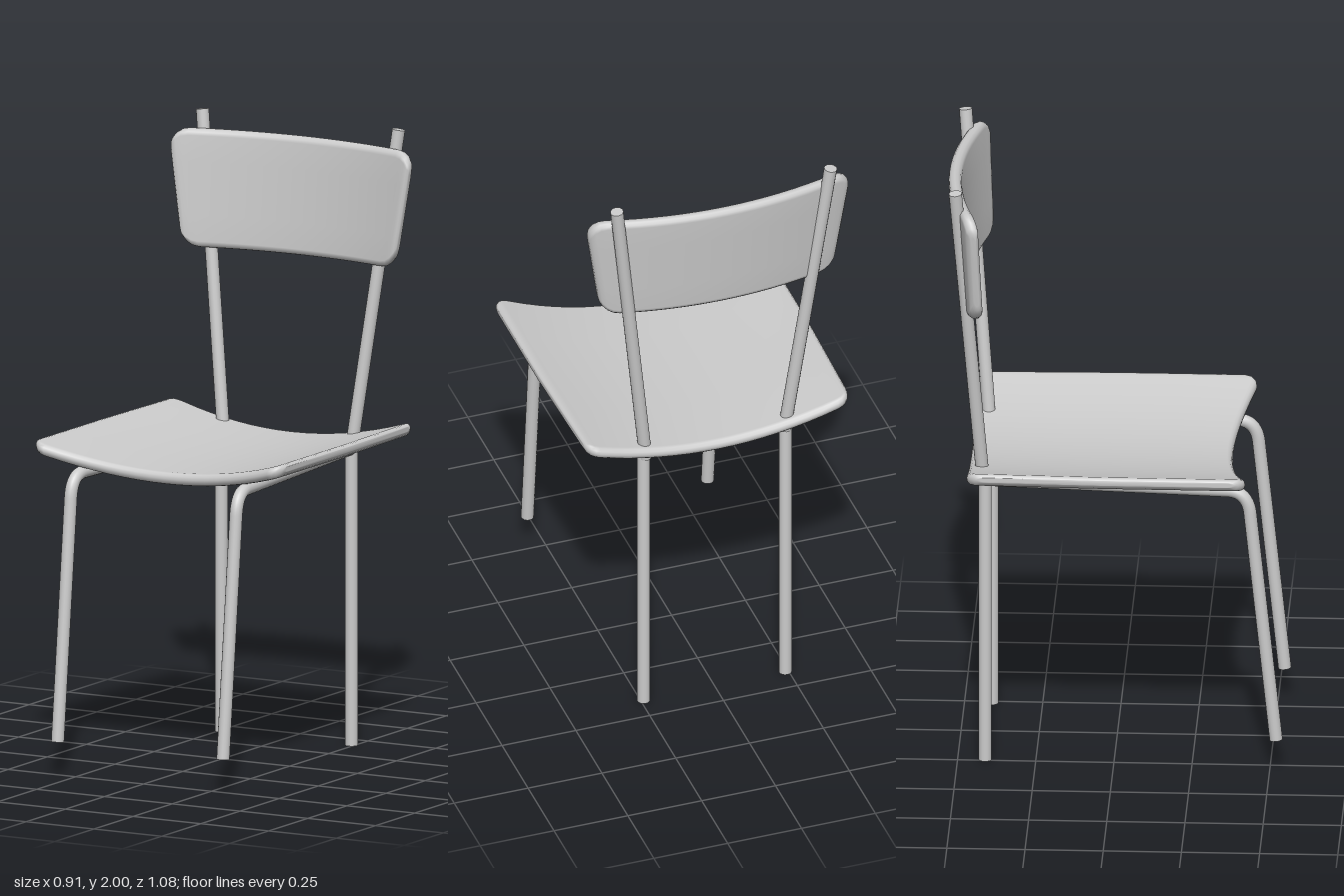
import * as THREE from 'three';

const material = new THREE.MeshStandardMaterial({ color: 0xcccccc });
const V = (x, y, z) => new THREE.Vector3(x, y, z);
const RADIUS = 0.021;

function addMesh(parent, name, geometry) {
  const mesh = new THREE.Mesh(geometry, material);
  mesh.name = name;
  parent.add(mesh);
  return mesh;
}

// Straight round bar between two points
function rod(parent, name, a, b) {
  const dir = b.clone().sub(a);
  const mesh = addMesh(parent, name, new THREE.CylinderGeometry(RADIUS, RADIUS, dir.length(), 16));
  mesh.position.copy(a).add(b).multiplyScalar(0.5);
  mesh.quaternion.setFromUnitVectors(V(0, 1, 0), dir.normalize());
}

// Thin board with rounded corners and rim, lofted along x, then bent by map(x, l, t)
function panel(halfW, halfL, corner, halfT, map) {
  // Half section across the board: rounded ends plus points along the flat faces
  const ends = [0, 30, 60, 90].map(THREE.MathUtils.degToRad);
  const quarter = ends.map(a => ({ a, k: 1 }));
  const upper = [...quarter, { a: Math.PI / 2, k: 0.5 }, { a: Math.PI / 2, k: 0 }];
  const section = (len, t) => {
    const q = upper.map(({ a, k }) => [k * (len - halfT) + (k === 1 ? halfT * Math.cos(a) : 0), t * Math.sin(a)]);
    const top = [...q, ...q.slice(0, -1).reverse().map(([l, h]) => [-l, h])];
    return [...top, ...top.slice(1, -1).reverse().map(([l, h]) => [l, -h])];
  };

  // Stations across the width, denser round the corners
  const flat = halfW - corner;
  const half = [0, 20, 40, 60, 75, 90].map(d => {
    const a = THREE.MathUtils.degToRad(d);
    const x = flat + corner * Math.sin(a);
    const d2 = Math.min(1, (halfW - x) / 0.015);
    return { x, len: halfL - corner + corner * Math.cos(a), t: halfT * Math.max(0.4, Math.sqrt(1 - (1 - d2) ** 2)) };
  });
  const stations = half.map(s => ({ ...s, x: -s.x })).reverse();
  for (let i = 1; i < 16; i++) stations.push({ x: flat * (i / 8 - 1), len: halfL, t: halfT });
  stations.push(...half);

  const points = [], index = [];
  let n = 0;
  stations.forEach(({ x, len, t }) => {
    const ring = section(len, t);
    n = ring.length;
    ring.forEach(([l, h]) => points.push(map(x, l, h)));
  });
  const last = (stations.length - 1) * n;
  points.push(map(-halfW, 0, 0), map(halfW, 0, 0));
  for (let j = 0; j < n; j++) {
    const k = (j + 1) % n;
    for (let i = 0; i < last; i += n) {
      index.push(i + j, i + k, i + n + j, i + k, i + n + k, i + n + j);
    }
    index.push(last + n, k, j, last + n + 1, last + j, last + k);
  }
  const geometry = new THREE.BufferGeometry().setFromPoints(points);
  geometry.setIndex(index);
  geometry.computeVertexNormals();
  return geometry;
}

export function createModel() {
  const chair = new THREE.Group();
  chair.name = 'chair';

  // Seat: dished across the width, front edge hollowed, slightly narrower at the back
  addMesh(chair, 'seat', panel(0.457, 0.4475, 0.045, 0.02, (x, l, t) => {
    const hollow = 0.06 * Math.max(0, 1 - (x / 0.42) ** 2) * Math.max(0, -l / 0.4475);
    const narrow = 1 - 0.025 * Math.max(0, l / 0.4475);
    return V(x * narrow, 0.971 + 0.074 * (x / 0.455) ** 2 + t, -0.0175 - l - hollow);
  }));

  // Backrest: wider at the top, wrapped forward at the sides and leaning back
  addMesh(chair, 'backrest', panel(0.45, 0.19, 0.065, 0.021, (x, l, t) => {
    const px = x * (0.935 + 0.065 * l / 0.19);
    return V(px, 1.75 + l, -0.502 - 0.09 * l + 0.073 * (px / 0.445) ** 2 + t);
  }));

  // Tubular frame, one side at a time
  for (const [side, s] of [['left', 1], ['right', -1]]) {
    const frame = new THREE.Group();
    frame.name = side + 'Frame';
    const legTop = V(s * 0.305, 0.89, 0.438);
    const elbow = V(s * 0.305, 0.965, 0.43);
    const railFront = V(s * 0.3, 0.965, 0.365);
    rod(frame, 'frontLeg', V(s * 0.305, 0.112, 0.521), legTop);
    addMesh(frame, 'legBend', new THREE.TubeGeometry(
      new THREE.QuadraticBezierCurve3(legTop, elbow, railFront), 12, RADIUS, 16));
    rod(frame, 'seatRail', railFront, V(s * 0.24, 0.965, -0.412));
    rod(frame, 'backLeg', V(s * 0.24, 0, -0.412), V(s * 0.24, 0.97, -0.412));
    rod(frame, 'backUpright', V(s * 0.235, 0.955, -0.418), V(s * 0.362, 1.998, -0.502));
    chair.add(frame);
  }
  return chair;
}
